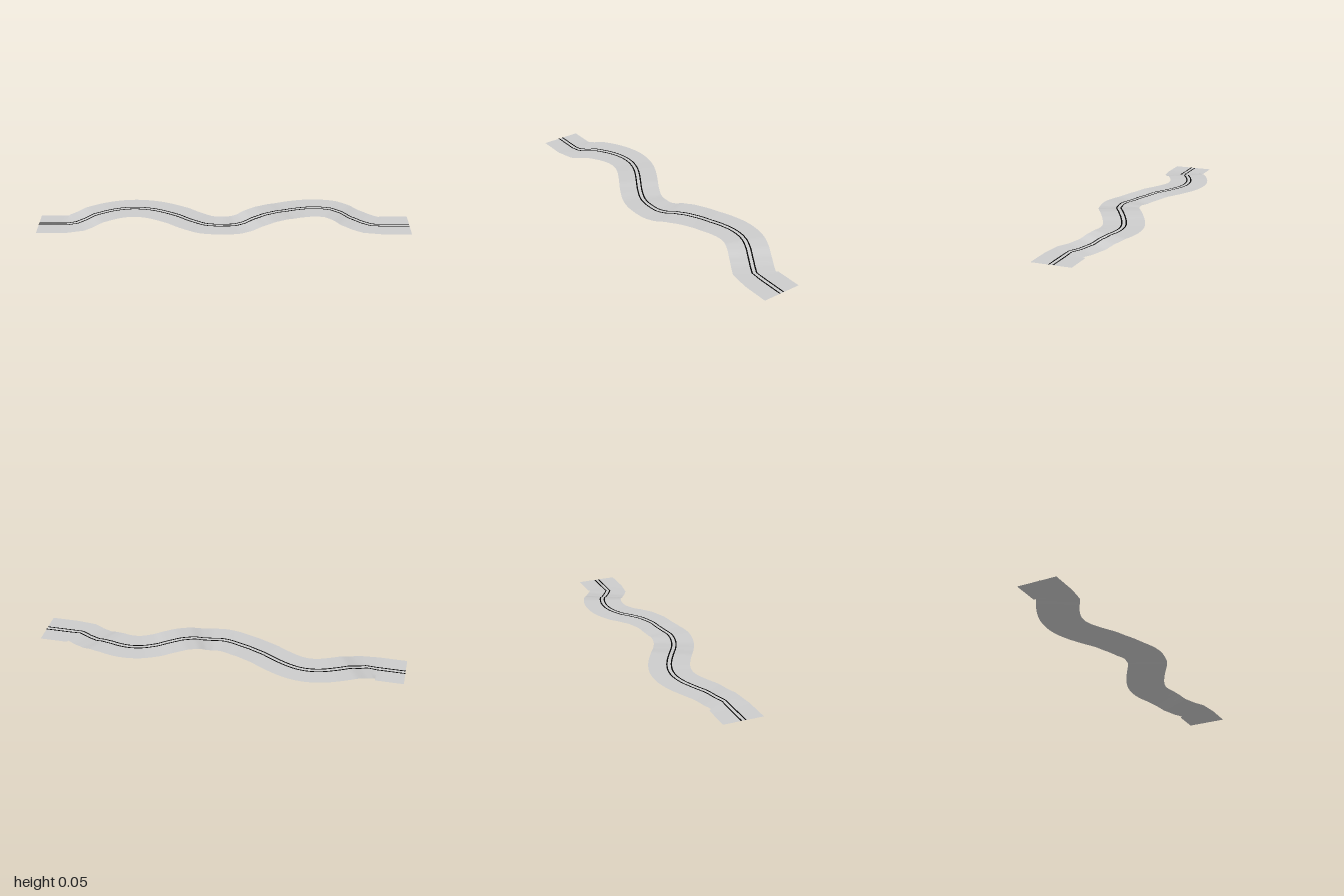
import * as THREE from 'three';

const BEND = 0.8; // the wavy middle ends here and the straight ends begin

// Height of the centre line along x
const heights = [
  [-1, 0.008], [-0.83, 0.009], [-0.77, 0.02], [-0.7, 0.037], [-0.62, 0.04], [-0.45, 0.041],
  [-0.35, 0.043], [-0.25, 0.043], [-0.18, 0.035], [-0.1, 0.029], [0, 0.034], [0.06, 0.033],
  [0.1, 0.038], [0.16, 0.054], [0.22, 0.06], [0.28, 0.057], [0.34, 0.05], [0.42, 0.047],
  [0.58, 0.048], [0.63, 0.04], [0.69, 0.02], [0.75, 0.011], [0.85, 0.008], [1, 0.008],
];

function heightAt(x) {
  let i = 0;
  while (i < heights.length - 2 && x > heights[i + 1][0]) i++;
  const [x0, y0] = heights[i];
  const [x1, y1] = heights[i + 1];
  return THREE.MathUtils.lerp(y0, y1, THREE.MathUtils.smoothstep(x, x0, x1) * 0.5 + (x - x0) / (x1 - x0) * 0.5);
}

// Stations along the centre line, each with its sideways direction
function makeStations() {
  const k = (2 * Math.PI) / 0.98;
  const list = [];
  const straight = (x, z) => list.push({ x, y: heightAt(x), z, nx: 0, nz: 1 });
  for (let i = 0; i <= 4; i++) straight(-1 + i * 0.0375, 0.037);
  const n = 120;
  const half = BEND - 0.005;
  for (let i = 0; i <= n; i++) {
    const x = -half + (2 * half * i) / n;
    const slope = -0.095 * k * Math.sin(k * x);
    const len = Math.hypot(1, slope);
    list.push({ x, y: heightAt(x), z: 0.095 * Math.cos(k * x) - 0.003, nx: -slope / len, nz: 1 / len });
  }
  for (let i = 0; i <= 4; i++) straight(0.85 + i * 0.0375, 0.034);
  return list;
}

// Strip that follows the stations between two sideways offsets
function ribbon(stations, from, to, lift, across) {
  const pos = [];
  const index = [];
  const row = across + 1;
  stations.forEach((s, i) => {
    for (let j = 0; j <= across; j++) {
      const d = from + ((to - from) * j) / across;
      pos.push(s.x + s.nx * d, s.y + lift, s.z + s.nz * d);
      if (i && j) {
        const b1 = i * row + j, a1 = b1 - 1, b0 = b1 - row, a0 = b0 - 1;
        index.push(a0, b0, a1, b0, b1, a1);
      }
    }
  });
  const g = new THREE.BufferGeometry();
  g.setAttribute('position', new THREE.Float32BufferAttribute(pos, 3));
  g.setIndex(index);
  g.computeVertexNormals();
  return g;
}

export function createModel() {
  const group = new THREE.Group();
  group.name = 'windingRoad';
  const asphalt = new THREE.MeshStandardMaterial({ color: 0xcccccc, side: THREE.DoubleSide });
  asphalt.name = 'pale grey';
  const paint = new THREE.MeshStandardMaterial({ color: 0x050505, side: THREE.DoubleSide });
  paint.name = 'black';
  const stations = makeStations();

  // Road surface
  const road = new THREE.Mesh(ribbon(stations, -0.1075, 0.1075, 0, 4), asphalt);
  road.name = 'roadSurface';
  group.add(road);

  // Pair of centre lines
  for (const side of [-1, 1]) {
    const c = side * 0.0115;
    const line = new THREE.Mesh(ribbon(stations, c - 0.0035, c + 0.0035, 0.001, 1), paint);
    line.name = side < 0 ? 'backCentreLine' : 'frontCentreLine';
    group.add(line);
  }
  return group;
}
